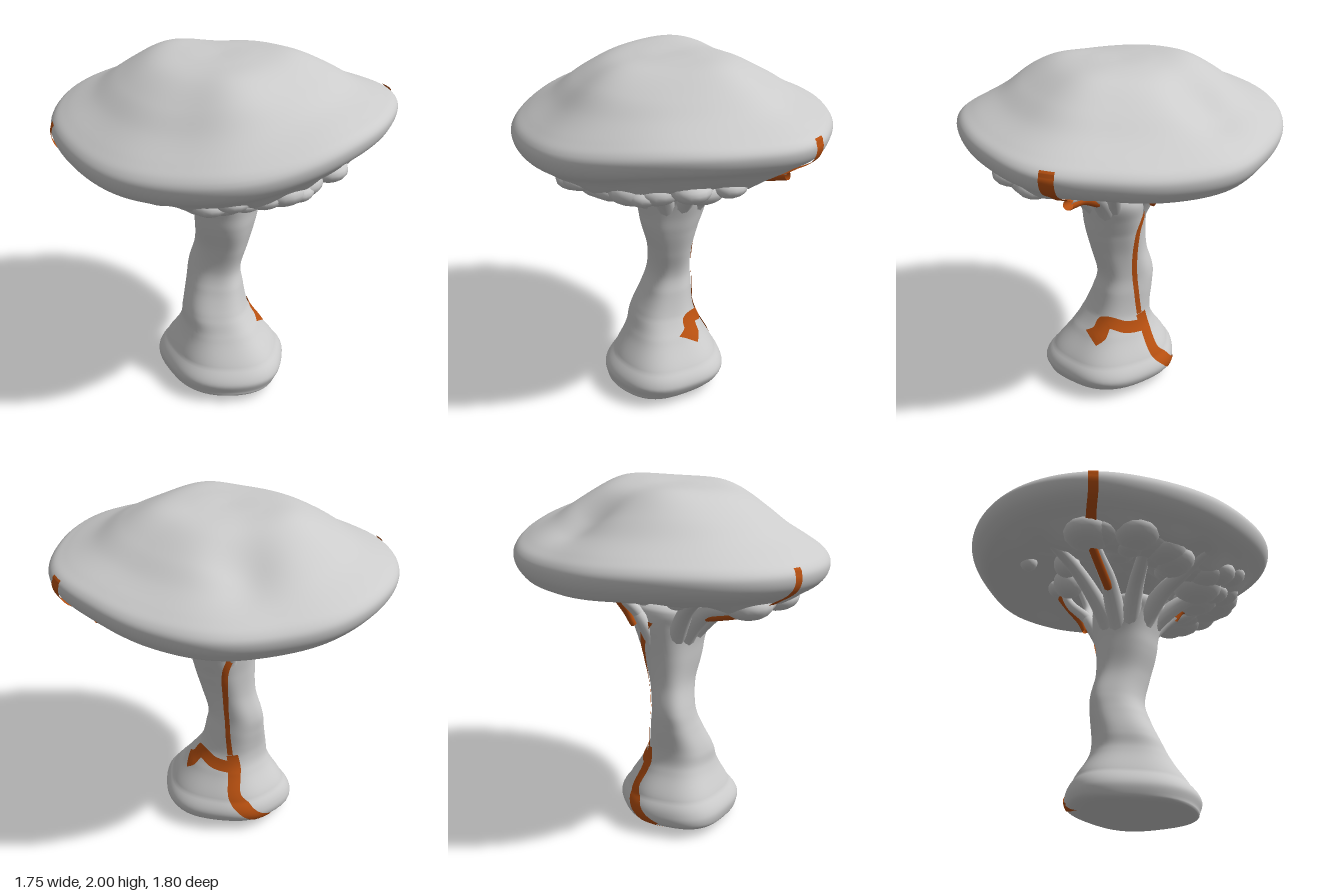
import * as THREE from 'three';

const V = (x, y, z) => new THREE.Vector3(x, y, z);
const grey = new THREE.MeshStandardMaterial({ color: 0xcccccc });
const orange = new THREE.MeshStandardMaterial({ color: 0xb85010, side: THREE.DoubleSide });

let seed = 7;
const rand = () => (seed = (seed * 16807) % 2147483647) / 2147483647;

const spline = (p0, p1, p2, p3, f) =>
  p1 + 0.5 * f * (p2 - p0 + f * (2 * p0 - 5 * p1 + 4 * p2 - p3 + f * (3 * (p1 - p2) + p3 - p0)));

// Smooth value around the circle from evenly spaced samples
function around(list, a) {
  const n = list.length, u = (((a / (2 * Math.PI)) % 1) + 1) % 1 * n, i = Math.floor(u);
  const g = k => list[(i + k + n) % n];
  return spline(g(-1), g(0), g(1), g(2), u - i);
}

// Closed skin: surf(angle, s) with s running from the top pole to the bottom pole
function skin(surf, nA, nS) {
  const pos = [], idx = [];
  for (let j = 0; j <= nS; j++)
    for (let i = 0; i < nA; i++) pos.push(...surf(i / nA * Math.PI * 2, j / nS).toArray());
  for (let j = 0; j < nS; j++)
    for (let i = 0; i < nA; i++) {
      const a = j * nA + i, b = j * nA + (i + 1) % nA;
      idx.push(a, b, a + nA, b, b + nA, a + nA);
    }
  const g = new THREE.BufferGeometry();
  g.setAttribute('position', new THREE.Float32BufferAttribute(pos, 3));
  g.setIndex(idx);
  g.computeVertexNormals();
  return g;
}

// Cap: rim outline, rim height and underside heights by angle (from +x towards +z)
const RIM_R = [.87, .9, .97, .93, .895, .88, .875, .865, .88, .89, .92, .92, .9, .88, .85, .87];
const RIM_Y = [1.62, 1.68, 1.69, 1.6, 1.56, 1.6, 1.63, 1.6];
const SAG = [1.52, 1.44, 1.4, 1.36, 1.37, 1.38, 1.46, 1.49];
const INNER = [1.53, 1.46, 1.37, 1.35, 1.39, 1.44, 1.51, 1.54];

function capPoint(a, s, off = 0) {
  const R = around(RIM_R, a), y = around(RIM_Y, a), sag = around(SAG, a);
  const prof = [[0, 1.985], [.2, 1.985], [.4, 1.96], [.6, 1.875], [.75, 1.79], [.9, 1.725], [.975, 1.685],
    [1, 1.635], [.97, y - .07], [.88, y - .13], [.68, sag], [.42, around(INNER, a)], [.2, 1.5], [0, 1.51]];
  prof.forEach((p, i) => { if (i < 8) p[1] += (y - 1.635) * p[0] ** 2; });
  const u = Math.min(s, .99999) * 13, i = Math.floor(u);
  const at = c => {
    const g = k => prof[Math.max(0, Math.min(13, i + k))][c];
    return spline(g(-1), g(0), g(1), g(2), u - i);
  };
  const t = Math.max(0, at(0)) * R + (s > .3 && s < .75 ? off : 0);
  const p = V(Math.cos(a) * t, at(1) + (s < .5 ? off : -off), Math.sin(a) * t);
  const bump = (x, z, w) => Math.exp(-((p.x - x) ** 2 + (p.z - z) ** 2) / w);
  if (s < .5) {
    // hollow, shoulders and soft folds on the crown
    p.y += -.06 * bump(.42, -.3, .025) + .02 * bump(.02, -.43, .03) + .03 * bump(-.36, .36, .04);
    p.y += .02 * bump(.28, .34, .04);
    p.y += .006 * Math.max(0, 1 - (t / R) ** 4) * Math.sin(7 * p.x + 3 * p.z) * Math.sin(8 * p.z - 2 * p.x + 1);
  } else if (s > .69) {
    // uneven underside, calmer on the open side
    const k = .017 - .011 * Math.cos(a + .6);
    p.y += k * Math.min(1, (s - .69) * 15) * Math.sin(9 * p.x + 14 * p.z) * Math.sin(16 * p.x - 8 * p.z);
  }
  return p;
}

// Stem sections: y, x min, x max, z min, z max
const STEM = [[0, -.05, -.05, .01, .01], [.015, -.2, .12, -.18, .2], [.04, -.34, .23, -.31, .36], [.07, -.365, .285, -.355, .39],
  [.13, -.375, .305, -.355, .415], [.2, -.33, .265, -.31, .38], [.35, -.26, .18, -.21, .27], [.45, -.235, .135, -.19, .2],
  [.6, -.17, .12, -.2, .15], [.7, -.14, .11, -.2, .13], [.85, -.14, .12, -.155, .17], [1, -.175, .155, -.14, .21],
  [1.1, -.19, .19, -.14, .225], [1.2, -.215, .22, -.15, .245], [1.27, -.24, .2, -.16, .27], [1.31, -.2, .16, -.13, .22],
  [1.33, 0, 0, .03, .03]];

function section(y) {
  let i = 0;
  while (i < STEM.length - 2 && STEM[i + 1][0] < y) i++;
  const g = (k, c) => STEM[Math.max(0, Math.min(STEM.length - 1, i + k))][c];
  const f = (y - g(0, 0)) / (g(1, 0) - g(0, 0));
  const [x0, x1, z0, z1] = [1, 2, 3, 4].map(c => spline(g(-1, c), g(0, c), g(1, c), g(2, c), f));
  return { cx: (x0 + x1) / 2, rx: (x1 - x0) / 2, cz: (z0 + z1) / 2, rz: (z1 - z0) / 2 };
}

function stemPoint(a, y, off = 0) {
  const q = section(y);
  // fluting, and a foot that leans out towards the front right
  const k = 1 + .045 * Math.sin(3 * a + 3 * y) * Math.sin(2 * a - 5 * y + 1)
    - .14 * Math.max(0, 1 - y / .5) * Math.cos(a + Math.PI / 4) ** 3;
  return V(q.cx + (q.rx * k + off) * Math.cos(a), y, q.cz + (q.rz * k + off) * Math.sin(a));
}

// Point on the +x side of the stem for a given z and y
function stemSide(z, y) {
  const q = section(y);
  return stemPoint(Math.asin(Math.max(-.96, Math.min(.96, (z - q.cz) / q.rz))), y, .006);
}

// Band of colour following a surface along a 2D path
function band(surf, pts, width) {
  const c = new THREE.SplineCurve(pts.map(p => new THREE.Vector2(...p)));
  const n = 50, pos = [], idx = [];
  for (let i = 0; i <= n; i++) {
    const p = c.getPoint(i / n), t = c.getTangent(i / n);
    for (let k = -2; k <= 2; k++)
      pos.push(...surf(p.x - t.y * width * k / 4, p.y + t.x * width * k / 4).toArray());
    if (i < n) for (let k = 0; k < 4; k++) {
      const a = i * 5 + k;
      idx.push(a, a + 1, a + 5, a + 1, a + 6, a + 5);
    }
  }
  const g = new THREE.BufferGeometry();
  g.setAttribute('position', new THREE.Float32BufferAttribute(pos, 3));
  g.setIndex(idx);
  g.computeVertexNormals();
  return g;
}

// Tube that narrows from r0 to r1
function taperTube(pts, r0, r1, n = 24, sides = 12) {
  const path = new THREE.CatmullRomCurve3(pts), g = new THREE.TubeGeometry(path, n, 1, sides);
  const p = g.attributes.position, v = V(0, 0, 0);
  for (let i = 0; i < p.count; i++) {
    const f = Math.floor(i / (sides + 1)) / n, c = path.getPointAt(f);
    v.fromBufferAttribute(p, i).sub(c).multiplyScalar(r0 + (r1 - r0) * Math.sqrt(f)).add(c);
    p.setXYZ(i, v.x, v.y, v.z);
  }
  g.computeVertexNormals();
  return g;
}

export function createModel() {
  const model = new THREE.Group();
  const add = (name, geo, mat = grey, parent = model) => {
    const m = new THREE.Mesh(geo, mat);
    m.name = name;
    parent.add(m);
    return m;
  };
  const sub = name => { const g = new THREE.Group(); g.name = name; model.add(g); return g; };
  const rad = d => d * Math.PI / 180;

  add('cap', skin((a, s) => capPoint(a, s), 112, 104));
  add('stem', skin((a, s) => stemPoint(a, 1.33 * (1 - s) ** 1.4), 56, 100));

  // Branches fanning out from the stem to the underside
  const branches = sub('branches');
  const branchPath = (d, reach, lift = 0) => {
    const a = rad(d), sag = around(SAG, a);
    const at = (r, y) => V(Math.cos(a) * r, y + lift, Math.sin(a) * r + .03 * (1 - r));
    return [at(.03, .98), at(.15, 1.16), at(.32, Math.min(1.32, sag - .07)), at(reach * .72, sag - .015), at(reach, sag + .05)];
  };
  for (const [d, reach, r] of [[38, .76, .1], [68, .66, .09], [100, .62, .1], [135, .62, .09], [168, .66, .1],
    [200, .64, .09], [228, .72, .09], [252, .66, .08], [22, .7, .06]])
    add('branch', taperTube(branchPath(d, reach), r, .03), grey, branches);
  for (const z of [-.19, -.06])
    add('forkTwig', taperTube([V(.1, 1.1, -.06), V(.18, 1.27, -.11), V(.26, 1.39, z), V(.32, 1.56, z - .03)], .05, .022), grey, branches);

  // Round bulbs in the open side of the hollow
  const bulbs = sub('bulbs');
  for (const [x, y, z, r] of [[.3, 1.46, .04, .085], [.14, 1.45, -.27, .09], [.3, 1.49, -.26, .05], [-.06, 1.44, -.4, .075],
    [.48, 1.5, .12, .045], [.1, 1.48, -.56, .05], [.4, 1.47, .25, .06]])
    add('bulb', new THREE.SphereGeometry(r, 20, 14), grey, bulbs).position.set(x, y, z);

  // Lumps swelling from the underside at the front, right and rear right
  const lumps = sub('lumps');
  for (let i = 0; i < 34; i++) {
    const p = capPoint(rad(34 + 210 * (i + rand() * .8) / 34), (9.7 + 1.3 * rand()) / 13), r = .05 + .045 * rand();
    const m = add('lump', new THREE.SphereGeometry(r, 16, 10), grey, lumps);
    m.position.set(p.x, p.y + r * .45, p.z);
    m.scale.set(1.5, .9, 1.5);
  }

  // Orange veins
  const veins = sub('veins');
  add('stemVein', band(stemSide, [[-.07, .46], [-.055, .6], [-.04, .8], [-.045, 1], [-.08, 1.12], [-.12, 1.22]], .03), orange, veins);
  add('footVein', band(stemSide, [[-.08, .46], [-.1, .38], [-.14, .24], [-.22, .16], [-.32, .06]], .06), orange, veins);
  add('crossVein', band(stemSide, [[-.09, .39], [.02, .4], [.12, .43], [.17, .37], [.22, .335]], .065), orange, veins);
  add('twigVein', taperTube([V(.2, 1.2, -.115), V(.235, 1.28, -.125), V(.28, 1.37, -.17), V(.33, 1.46, -.2)], .016, .03), orange, veins);
  const onCap = (a, s) => capPoint(a, s, .006);
  add('rimVein', band(onCap, [[rad(40), .47], [rad(40), .6], [rad(40), .7], [rad(39), .78]], .08), orange, veins);
  add('rearRimVein', band(onCap, [[rad(222), .47], [rad(222), .6], [rad(224), .7], [rad(228), .78]], .06), orange, veins);
  for (const [d, reach, r] of [[38, .76, .028], [228, .72, .025], [108, .5, .02]])
    add('branchVein', taperTube(branchPath(d, reach, -.034).slice(2), r, r), orange, veins);
  return model;
}
